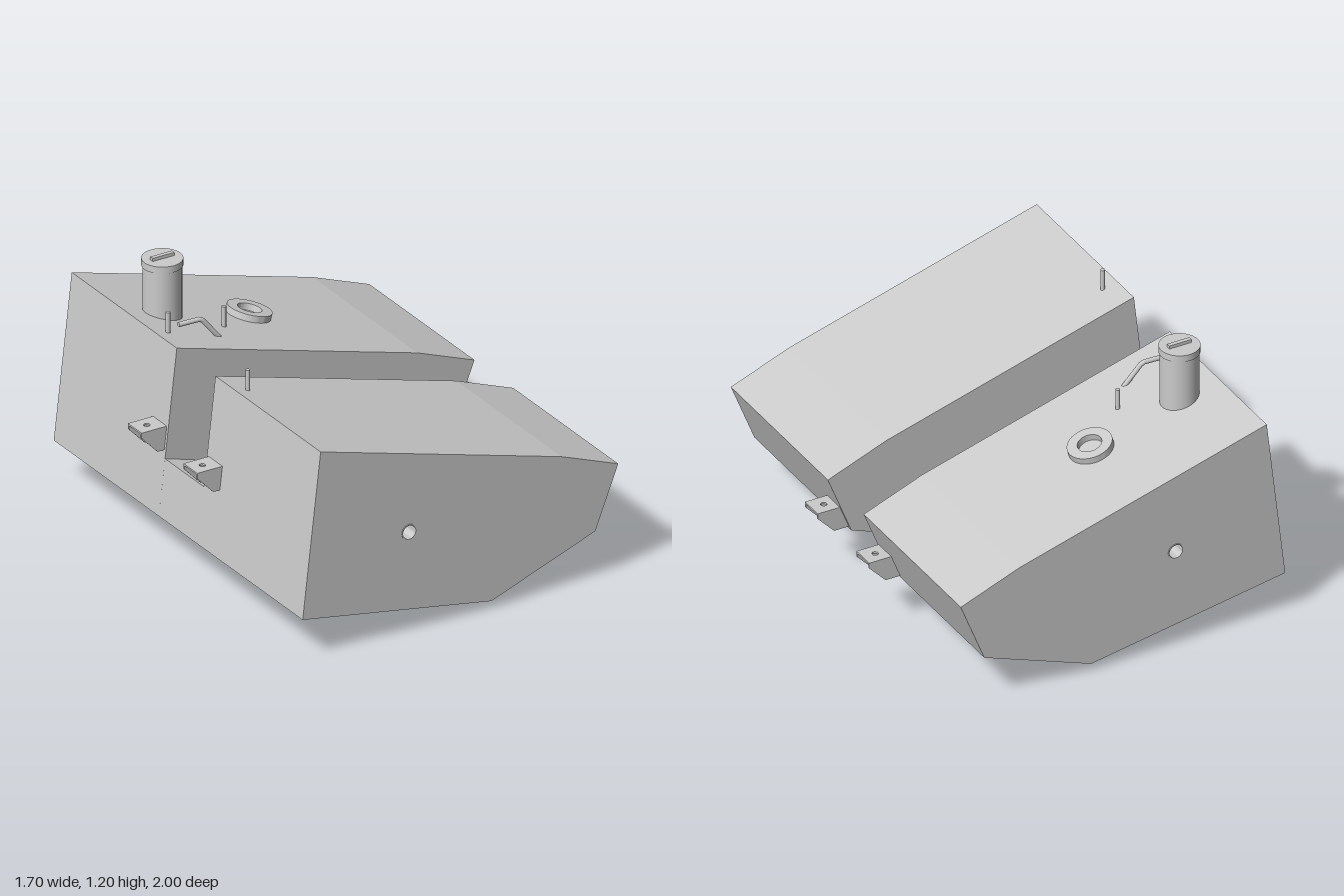
import * as THREE from 'three';
import { toCreasedNormals } from 'three/addons/utils/BufferGeometryUtils.js';

const grey = new THREE.MeshStandardMaterial({ color: 0xcccccc });

// Side outline of the tank and the height rules of its sloping faces
const outline = [[-0.775, 0.2], [0.17, 0.037], [0.69, 0.23], [0.805, 0.52], [0.52, 0.63], [-0.685, 0.975]];
const HALF = 0.997, SLOT = 0.155;
const deckY = x => 0.975 - (x + 0.685) * 0.286;
const floorY = x => 0.465 - (x + 0.744) * 0.301;
const bottomY = x => x < 0.17 ? 0.037 - (x - 0.17) * 0.1725 : 0.037 + (x - 0.17) * 0.371;

function makeShape(points, hole) {
  const shape = new THREE.Shape(points.map(p => new THREE.Vector2(...p)));
  if (hole) shape.holes.push(new THREE.Path().absarc(hole.x, hole.y, hole.r, 0, Math.PI * 2, true));
  return shape;
}

function extrude(shape, depth) {
  return new THREE.ExtrudeGeometry(shape, { depth, bevelEnabled: false, curveSegments: 32 });
}

// Flat ring or pipe standing on y = 0
function pipeGeometry(outer, inner, height) {
  const shape = new THREE.Shape().absarc(0, 0, outer, 0, Math.PI * 2, false);
  shape.holes.push(new THREE.Path().absarc(0, 0, inner, 0, Math.PI * 2, true));
  return toCreasedNormals(extrude(shape, height).rotateX(-Math.PI / 2), 0.6);
}

// Block between the tank bottom and the channel floor, from x0 to x1
function channelGeometry(x0, x1, hole) {
  const geo = extrude(makeShape([[x0, -SLOT], [x1, -SLOT], [x1, SLOT], [x0, SLOT]], hole), 1);
  geo.rotateX(-Math.PI / 2);
  const pos = geo.attributes.position;
  for (let i = 0; i < pos.count; i++) {
    const top = pos.getY(i) > 0.5;
    const x = top ? Math.max(pos.getX(i), -0.744) : pos.getX(i);
    pos.setXYZ(i, x, top ? floorY(x) : bottomY(x), pos.getZ(i));
  }
  geo.computeVertexNormals();
  return geo;
}

export function createModel() {
  const model = new THREE.Group();
  model.name = 'saddleTank';

  function add(name, geometry, x = 0, y = 0, z = 0, parent = model) {
    const mesh = new THREE.Mesh(geometry, grey);
    mesh.name = name;
    mesh.position.set(x, y, z);
    parent.add(mesh);
    return mesh;
  }

  function rod(name, radius, x, y0, y1, z, parent = model) {
    return add(name, new THREE.CylinderGeometry(radius, radius, y1 - y0, 32), x, (y0 + y1) / 2, z, parent);
  }

  // Two tank halves, each crossed by a lined hole
  const cross = { x: -0.242, y: 0.475, r: 0.036 };
  for (const [name, z] of [['frontTankHalf', SLOT], ['backTankHalf', -HALF]]) {
    add(name, extrude(makeShape(outline, cross), HALF - SLOT), 0, 0, z);
    const liner = pipeGeometry(0.037, 0.032, HALF - SLOT + 0.006).rotateX(Math.PI / 2);
    add('crossTube', liner, cross.x, cross.y, z - 0.003);
  }

  // Low bridge forming the channel floor, with a drain hole
  add('channelBridge', channelGeometry(-0.775, 0.17, { x: -0.3, y: 0, r: 0.032 }));
  add('channelBridgeTip', channelGeometry(0.17, 0.4));
  add('drainTube', pipeGeometry(0.037, 0.031, 0.207), -0.3, 0.115, 0);

  // Filler neck with cap and grip
  const filler = new THREE.Group();
  filler.name = 'filler';
  model.add(filler);
  rod('fillerNeck', 0.085, -0.508, 0.86, 1.16, -0.555, filler);
  rod('fillerCap', 0.09, -0.508, 1.155, 1.187, -0.555, filler);
  add('capGrip', new THREE.BoxGeometry(0.108, 0.03, 0.02), -0.508, 1.187, -0.555, filler);

  // Sender flange lying on the sloping deck
  const flange = add('senderFlange', pipeGeometry(0.1, 0.054, 0.035), -0.078, deckY(-0.078) - 0.005, -0.558);
  flange.rotation.z = -Math.atan(0.286);

  // Upright vent pipes and bottom outlet
  for (const [x, top, z] of [[-0.617, 1.052, -0.335], [-0.617, 1.052, 0.305], [-0.285, 0.956, -0.418]])
    rod('ventPipe', 0.01, x, deckY(x) - 0.02, top, z);
  rod('outlet', 0.025, 0.102, 0, 0.08, -0.11);

  // Bent pipe on the deck, with capped ends
  const path = new THREE.CurvePath();
  const bend = [[-0.57, 0.983, -0.326], [-0.467, 0.983, -0.322], [-0.452, 0.975, -0.32], [-0.37, 0.87, -0.305]]
    .map(p => new THREE.Vector3(...p));
  path.add(new THREE.LineCurve3(bend[0], bend[1]));
  path.add(new THREE.LineCurve3(bend[1], bend[2]));
  path.add(new THREE.LineCurve3(bend[2], bend[3]));
  add('bentPipe', new THREE.TubeGeometry(path, 40, 0.011, 16, false));
  add('bentPipeEnd', new THREE.CircleGeometry(0.011, 16).rotateY(-Math.PI / 2), ...bend[0].toArray());

  // Mounting brackets: drilled top plate on two gussets
  function bracket(name, x, y, z, wallTop, wallBottom, turn) {
    const group = new THREE.Group();
    group.name = name;
    group.position.set(x, y, z);
    group.rotation.y = turn;
    model.add(group);
    const w = 0.055, t = 0.008;
    const plate = extrude(makeShape([[wallTop, -w], [0, -w], [0, w], [wallTop, w]], { x: -0.06, y: 0, r: 0.014 }), t);
    add('bracketPlate', plate.rotateX(-Math.PI / 2), 0, -t, 0, group);
    const side = makeShape([[wallTop, -t], [wallBottom, -0.11], [-0.08, -0.11], [0, -0.026], [0, -t]]);
    for (const gz of [-w, w - t]) add('bracketGusset', extrude(side, t), 0, 0, gz, group);
  }
  for (const z of [-0.223, 0.223]) {
    bracket('frontBracket', 0.847, 0.355, z, -0.115, -0.155, 0);
    bracket('rearBracket', -0.853, 0.61, z, -0.13, -0.118, Math.PI);
  }

  return model;
}
